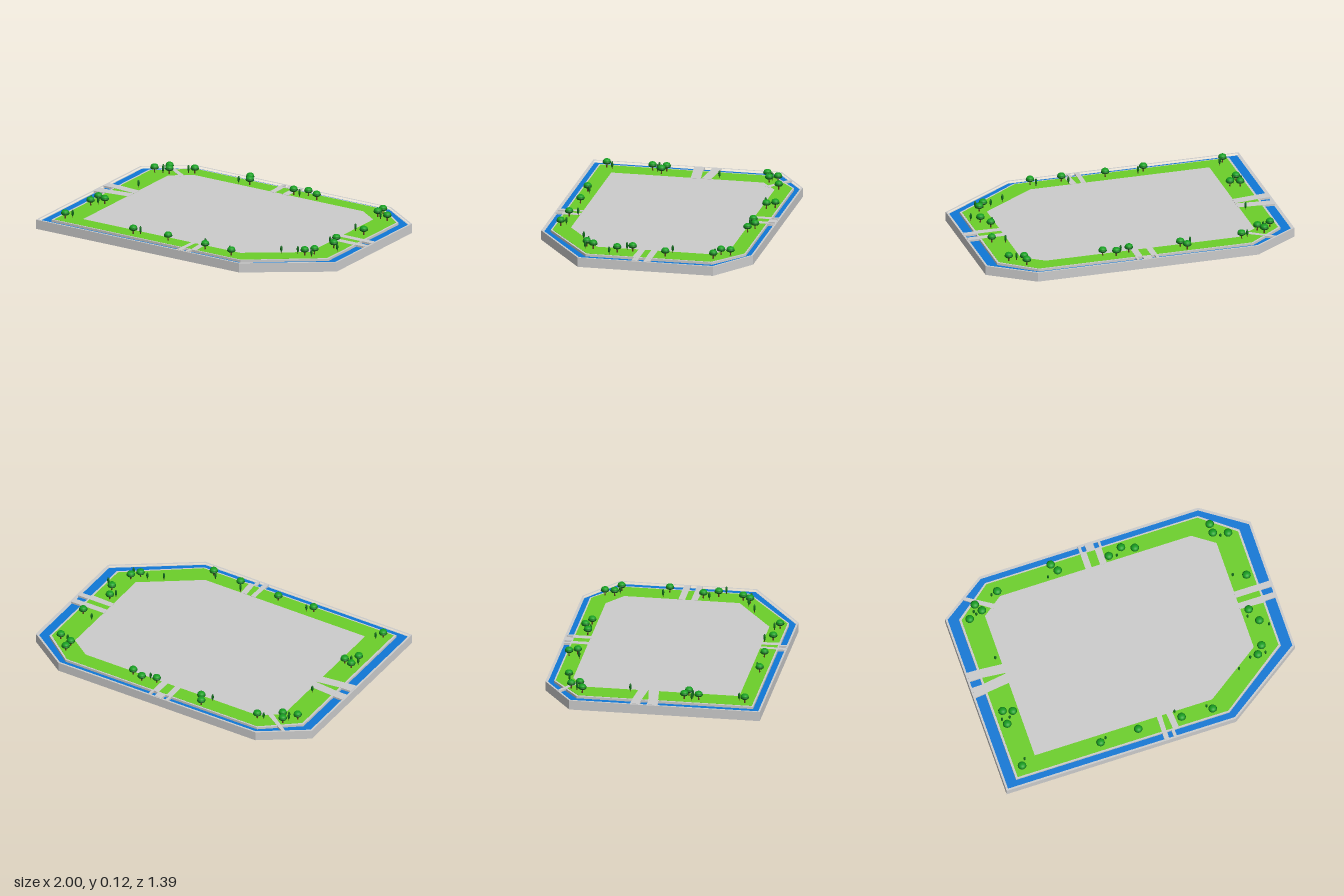
import * as THREE from 'three';

const GROUND = 0.06, WATER = 0.045, BED = 0.042;

// Plan outlines as [x, z] corners
const OUTER = [[-1, -0.5], [-0.71, -0.697], [0.72, -0.697], [1, -0.505], [1, 0.355], [0.5, 0.697], [-1, 0.697]];
const RIM = [[-0.987, -0.494], [-0.706, -0.685], [0.716, -0.685], [0.987, -0.498], [0.987, 0.348], [0.496, 0.685], [-0.987, 0.685]];
const ISLAND = [[-0.92, -0.468], [-0.69, -0.646], [0.7, -0.646], [0.918, -0.478], [0.918, 0.325], [0.476, 0.642], [-0.92, 0.642]];
const LAWN = [[-0.906, -0.46], [-0.685, -0.636], [0.695, -0.636], [0.905, -0.47], [0.905, 0.318], [0.472, 0.632], [-0.906, 0.632]];
const PLAZA = [[-0.76, -0.44], [-0.63, -0.535], [0.62, -0.535], [0.755, -0.44], [0.755, 0.285], [0.4, 0.53], [-0.76, 0.53]];

// Paths and bridges as four [x, z] corners
const PATHS = [
  [[-0.07, -0.645], [-0.03, -0.645], [-0.03, -0.53], [-0.07, -0.53]],
  [[0.025, -0.645], [0.068, -0.645], [0.068, -0.53], [0.025, -0.53]],
  [[0.038, 0.53], [0.07, 0.53], [0.066, 0.645], [0.036, 0.645]],
  [[0.1, 0.53], [0.14, 0.53], [0.148, 0.645], [0.11, 0.645]],
  [[-0.92, -0.118], [-0.755, -0.105], [-0.755, -0.043], [-0.92, -0.06]],
  [[-0.92, -0.017], [-0.755, -0.04], [-0.755, 0.025], [-0.92, 0.045]],
  [[0.75, -0.1], [0.92, -0.1], [0.92, -0.058], [0.75, -0.058]],
  [[0.75, -0.02], [0.92, -0.02], [0.92, 0.027], [0.75, 0.02]],
];
const BRIDGES = [
  [[-0.07, -0.69], [-0.052, -0.69], [-0.052, -0.64], [-0.07, -0.64]],
  [[-0.025, -0.69], [0.028, -0.69], [0.028, -0.64], [-0.025, -0.64]],
  [[0.058, -0.69], [0.073, -0.69], [0.073, -0.64], [0.058, -0.64]],
  [[0.036, 0.64], [0.068, 0.64], [0.066, 0.69], [0.036, 0.69]],
  [[0.095, 0.64], [0.115, 0.64], [0.118, 0.69], [0.098, 0.69]],
  [[-0.99, -0.12], [-0.915, -0.118], [-0.915, -0.06], [-0.99, -0.06]],
  [[-0.99, -0.015], [-0.915, -0.017], [-0.915, 0.045], [-0.99, 0.053]],
  [[0.915, -0.1], [0.99, -0.1], [0.99, -0.06], [0.915, -0.06]],
  [[0.915, -0.02], [0.99, -0.02], [0.99, 0.016], [0.915, 0.016]],
  [[-0.86, -0.588], [-0.842, -0.6], [-0.67, -0.492], [-0.69, -0.465]],
];

const ROUND_TREES = [
  [-0.64, -0.56], [-0.8, -0.52], [-0.77, -0.47], [-0.86, -0.44], [-0.27, -0.62], [-0.24, -0.57], [0.09, -0.56],
  [0.18, -0.59], [0.26, -0.56], [0.75, -0.56], [0.75, -0.5], [0.84, -0.47], [0.86, -0.17], [0.8, 0.05],
  [0.84, 0.14], [0.8, 0.3], [0.76, 0.35], [0.38, 0.6], [0.18, 0.59], [-0.1, 0.58], [-0.35, 0.59],
  [-0.86, 0.58], [-0.86, 0.2], [-0.8, 0.22], [-0.86, 0.29],
];
const SLIM_TREES = [
  [-0.68, -0.55], [-0.82, -0.48], [-0.81, -0.46], [-0.31, -0.55], [0.14, -0.55], [0.79, -0.47], [0.78, -0.2],
  [0.78, 0.09], [0.89, 0.18], [0.71, 0.35], [0.81, 0.35], [0.62, 0.4], [0.35, 0.57], [0.15, 0.54],
  [-0.31, 0.57], [-0.83, 0.54], [-0.88, 0.25], [-0.83, 0.25], [-0.79, -0.15],
];

const paint = (color) => new THREE.MeshStandardMaterial({ color });
const grey = paint(0xcccccc), water = paint(0x0f78d6), grass = paint(0x6ccf2a);
const leaf = paint(0x18a022), darkLeaf = paint(0x0f6a1a), bark = paint(0x5a3d1e);

// Raises a plan outline, with an optional hole, from y0 to y1
function slab(name, outline, y0, y1, material, hole) {
  const points = (list) => list.map(([x, z]) => new THREE.Vector2(x, -z));
  const shape = new THREE.Shape(points(outline));
  if (hole) shape.holes.push(new THREE.Path(points(hole)));
  const geometry = new THREE.ExtrudeGeometry(shape, { depth: y1 - y0, bevelEnabled: false });
  geometry.rotateX(-Math.PI / 2).translate(0, y0, 0);
  const mesh = new THREE.Mesh(geometry, material);
  mesh.name = name;
  return mesh;
}

function part(name, geometry, material, y) {
  const mesh = new THREE.Mesh(geometry, material);
  mesh.name = name;
  mesh.position.y = y;
  return mesh;
}

const trunkShape = new THREE.CylinderGeometry(0.003, 0.005, 0.03, 8);
const crownShape = new THREE.SphereGeometry(0.024, 14, 10).scale(1, 0.65, 1);
const skirtShape = new THREE.SphereGeometry(0.027, 14, 8).scale(1, 0.5, 1);
const slimTrunkShape = new THREE.CylinderGeometry(0.002, 0.002, 0.016, 6);
const slimCrownShape = new THREE.SphereGeometry(0.0075, 10, 10).scale(1, 2.8, 1);

// Round tree: trunk, dark lower skirt and bright crown
function roundTree() {
  const tree = new THREE.Group();
  tree.name = 'roundTree';
  tree.add(
    part('trunk', trunkShape, bark, 0.014),
    part('lowerCrown', skirtShape, darkLeaf, 0.035),
    part('upperCrown', crownShape, leaf, 0.043),
  );
  return tree;
}

// Slim upright tree
function slimTree() {
  const tree = new THREE.Group();
  tree.name = 'slimTree';
  tree.add(part('trunk', slimTrunkShape, bark, 0.008), part('crown', slimCrownShape, darkLeaf, 0.031));
  return tree;
}

export function createModel() {
  const model = new THREE.Group();
  model.name = 'moatedPark';

  // Base, outer wall, moat and raised island
  model.add(
    slab('base', OUTER, 0, BED, grey),
    slab('outerWall', OUTER, BED, GROUND, grey, RIM),
    slab('moatWater', RIM, BED, WATER, water, ISLAND),
    slab('island', ISLAND, BED, GROUND, grey),
    slab('lawn', LAWN, GROUND, GROUND + 0.0008, grass, PLAZA),
  );

  // Paths over the lawn and bridges over the moat
  PATHS.forEach((p) => model.add(slab('path', p, GROUND, GROUND + 0.0018, grey)));
  BRIDGES.forEach((p) => model.add(slab('bridge', p, WATER + 0.004, GROUND + 0.0016, grey)));

  // Trees
  const plant = (spots, make) => spots.forEach(([x, z]) => {
    const tree = make();
    tree.position.set(x, GROUND, z);
    model.add(tree);
  });
  plant(ROUND_TREES, roundTree);
  plant(SLIM_TREES, slimTree);
  return model;
}
